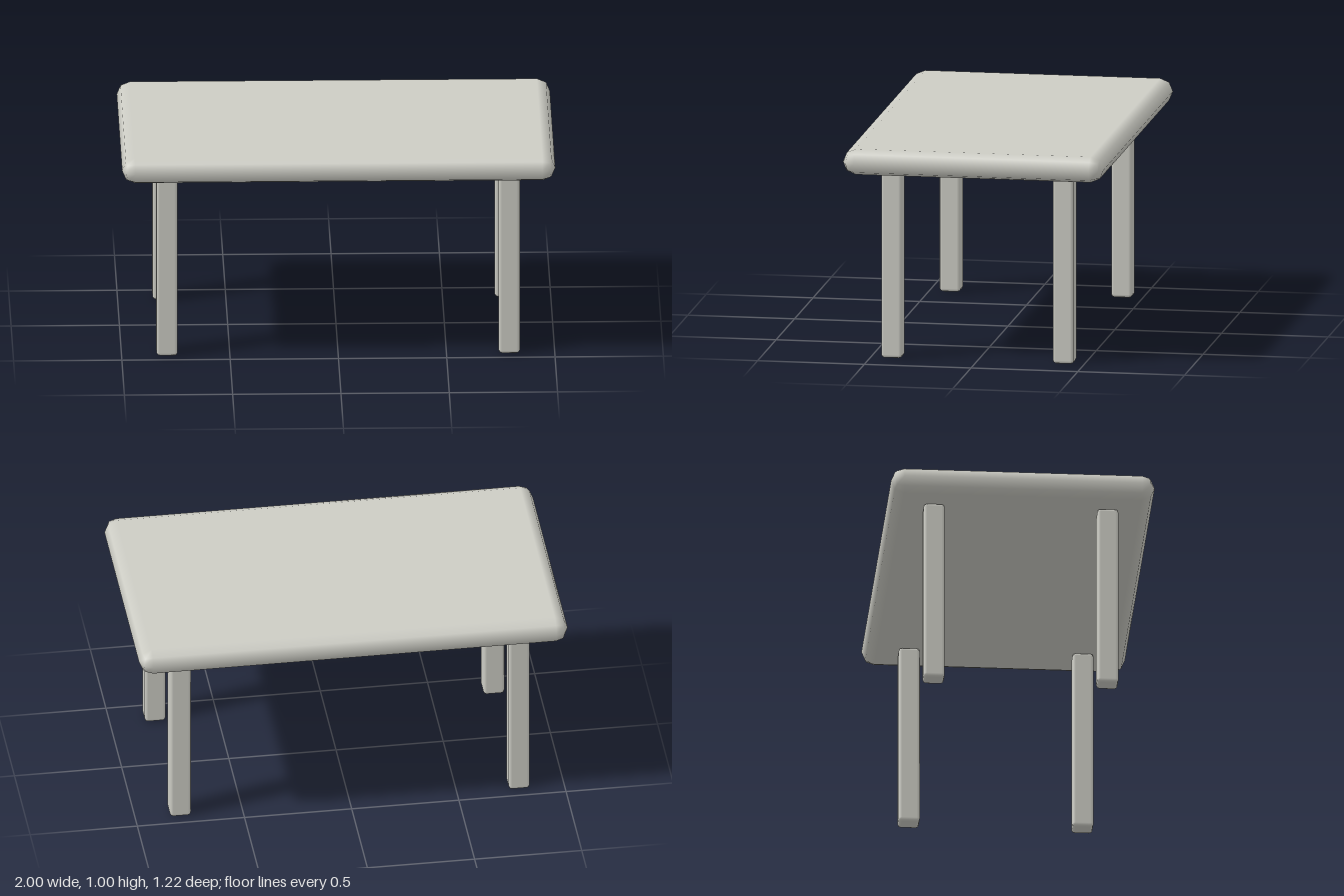
import * as THREE from 'three';
import { RoundedBoxGeometry } from 'three/addons/geometries/RoundedBoxGeometry.js';

const HEIGHT = 1;
const TOP = { width: 2, thickness: 0.12, depth: 1.22, radius: 0.06 };
const LEG = { size: 0.098, radius: 0.015, x: 0.79, z: 0.402 };

export function createModel() {
  const group = new THREE.Group();
  group.name = 'table';

  const material = new THREE.MeshStandardMaterial({ color: 0xccccc4 });
  material.name = 'warmGrey';

  // Softly rounded slab
  const tableTop = new THREE.Mesh(
    new RoundedBoxGeometry(TOP.width, TOP.thickness, TOP.depth, 1, TOP.radius), material);
  tableTop.name = 'tableTop';
  tableTop.position.y = HEIGHT - TOP.thickness / 2;
  group.add(tableTop);

  // Four square legs with small rounded edges
  const legHeight = HEIGHT - TOP.thickness;
  const legGeometry = new RoundedBoxGeometry(LEG.size, legHeight, LEG.size, 1, LEG.radius);
  for (const [endName, sz] of [['front', 1], ['back', -1]]) {
    for (const [sideName, sx] of [['Left', 1], ['Right', -1]]) {
      const leg = new THREE.Mesh(legGeometry, material);
      leg.name = `${endName}${sideName}Leg`;
      leg.position.set(sx * LEG.x, legHeight / 2, sz * LEG.z);
      group.add(leg);
    }
  }

  return group;
}
